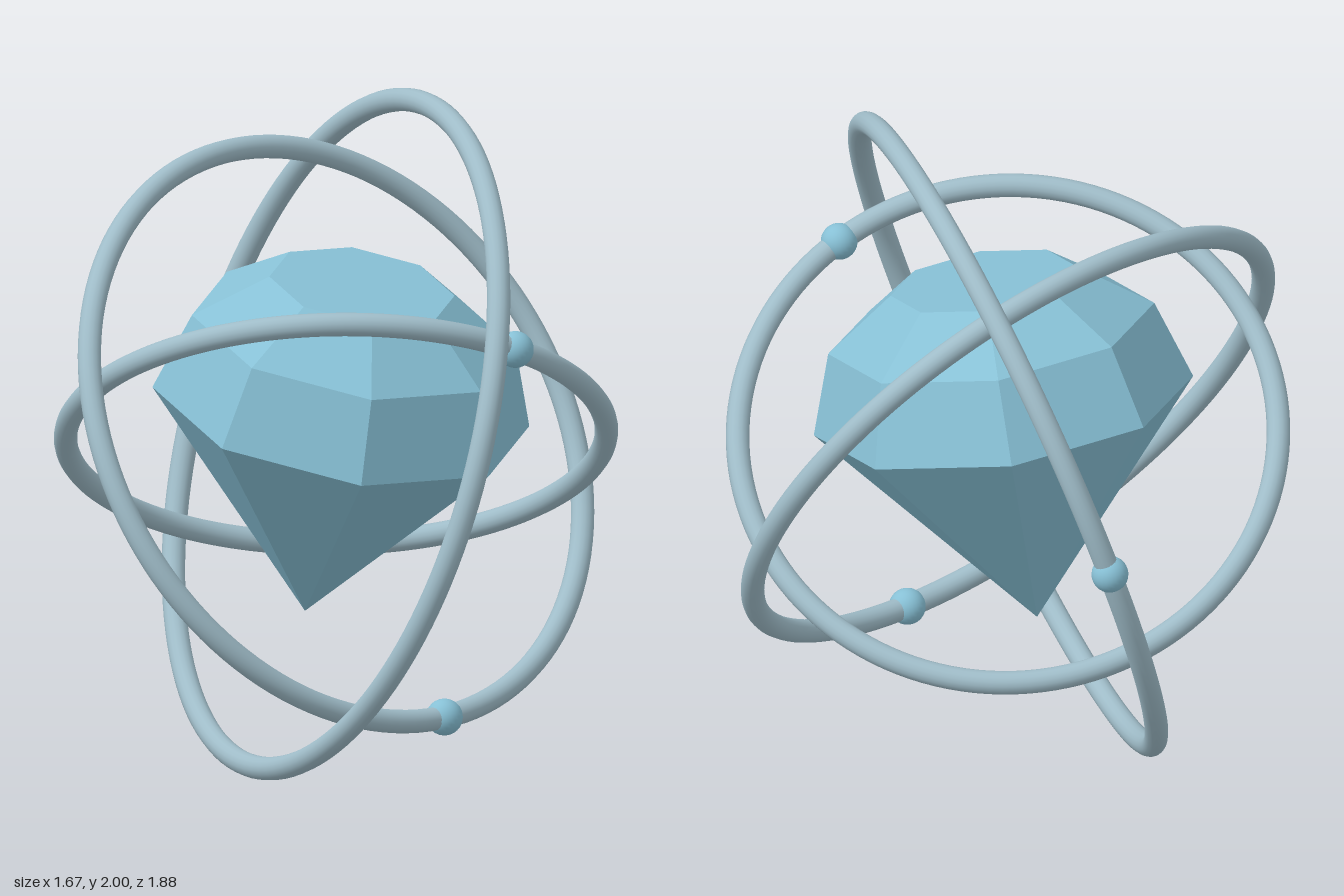
import * as THREE from 'three';

const CENTER_Y = 1;
const TUBE = 0.035;

export function createModel() {
  const model = new THREE.Group();
  model.name = 'orbitingCrystal';

  const crystalBlue = new THREE.MeshStandardMaterial({ color: 0x87c0d5 });
  crystalBlue.name = 'crystalBlue';
  const ringGrey = new THREE.MeshStandardMaterial({ color: 0x9fbcc8 });
  ringGrey.name = 'ringGrey';

  // Faceted gem: eight-sided profile from the point up to the flat table
  const profile = [[0, -0.58], [0.57, 0.09], [0.49, 0.335], [0.28, 0.485], [0, 0.485]]
    .map(([r, y]) => new THREE.Vector2(r, y));
  const gemGeometry = new THREE.LatheGeometry(profile, 8).toNonIndexed();
  gemGeometry.computeVertexNormals();
  const gem = new THREE.Mesh(gemGeometry, crystalBlue);
  gem.name = 'gem';

  // Tilt the gem along its axis, with one corner facing the given direction
  const axis = new THREE.Vector3(0.178, 0.975, 0.13).normalize();
  const corner = new THREE.Vector3(1.09, -0.159, -0.3).projectOnPlane(axis).normalize();
  const side = new THREE.Vector3().crossVectors(corner, axis);
  gem.quaternion.setFromRotationMatrix(new THREE.Matrix4().makeBasis(corner, axis, side));
  gem.position.y = CENTER_Y;
  model.add(gem);

  // Three tilted rings, each carrying one bead
  const orbits = [
    { name: 'inner', radius: 0.803, normal: [-0.1, 0.782, -0.615], bead: [0.6, 0.395, 0.39] },
    { name: 'middle', radius: 0.91, normal: [0.672, 0.519, 0.529], bead: [0.376, -0.78, 0.307] },
    { name: 'outer', radius: 1.017, normal: [-0.824, 0.315, 0.471], bead: [-0.503, 0.055, -0.884] },
  ];
  for (const { name, radius, normal, bead } of orbits) {
    const n = new THREE.Vector3(...normal).normalize();
    const orbit = new THREE.Group();
    orbit.name = name + 'Orbit';
    orbit.position.y = CENTER_Y;

    const ring = new THREE.Mesh(new THREE.TorusGeometry(radius, TUBE, 16, 128), ringGrey);
    ring.name = name + 'Ring';
    ring.quaternion.setFromUnitVectors(new THREE.Vector3(0, 0, 1), n);

    const ball = new THREE.Mesh(new THREE.SphereGeometry(0.055, 24, 16), crystalBlue);
    ball.name = name + 'Bead';
    ball.position.set(...bead).projectOnPlane(n).setLength(radius);

    orbit.add(ring, ball);
    model.add(orbit);
  }
  return model;
}
